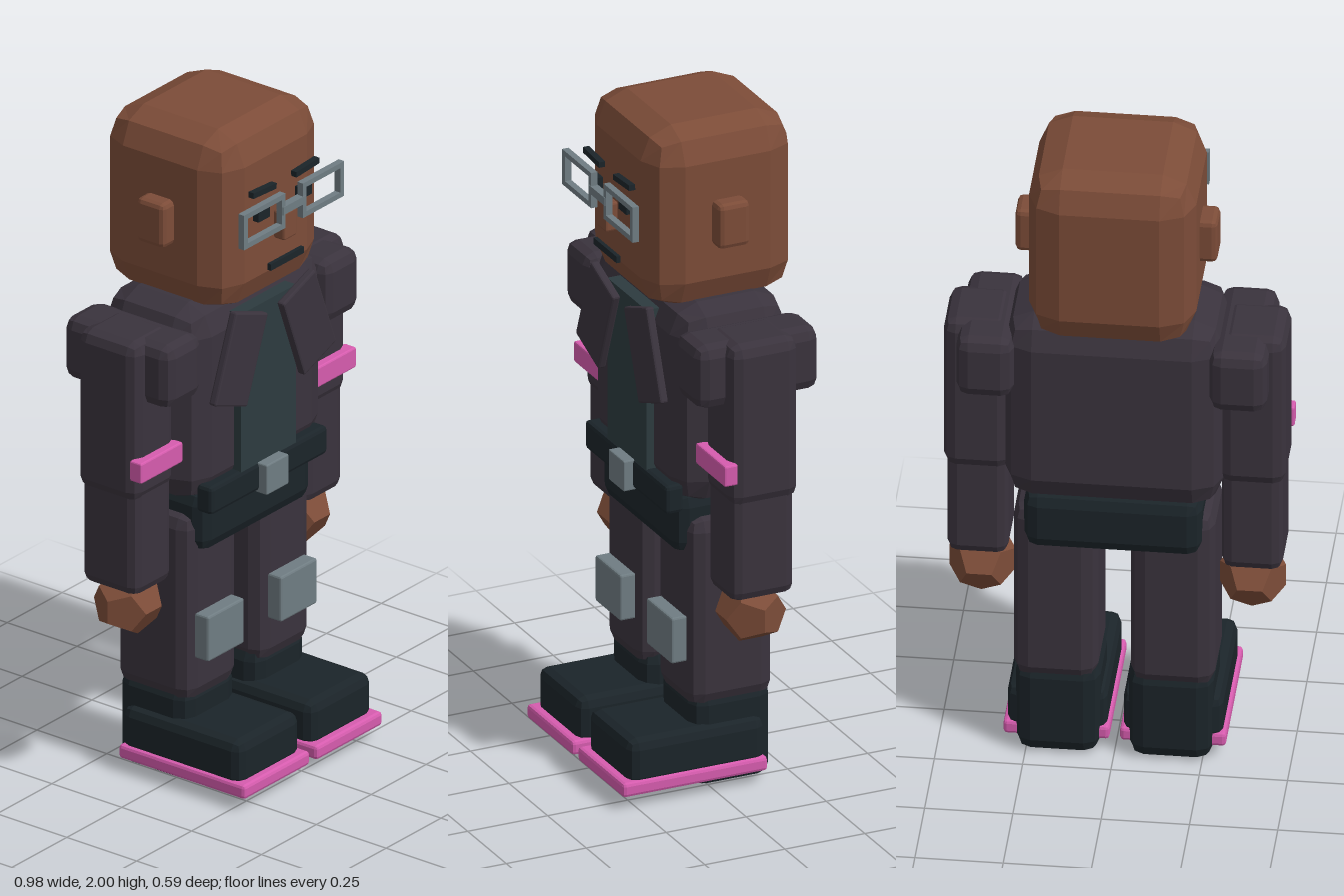
import * as THREE from 'three';
import { RoundedBoxGeometry } from 'three/addons/geometries/RoundedBoxGeometry.js';

const mat = (color) => new THREE.MeshStandardMaterial({ color, flatShading: true });

export function createModel() {
  const model = new THREE.Group();
  model.name = 'figure';
  const skin = mat(0x7c4c38), cloth = mat(0x3a333d), dark = mat(0x1b2429);
  const shirtMat = mat(0x2d3b3f), pink = mat(0xd65cae), grey = mat(0x6f7c82);

  // Box given by its ranges [min, max]; r is the two-step bevel (0 = sharp edges)
  function box(name, material, [x0, x1], [y0, y1], [z0, z1], r = 0) {
    const size = [x1 - x0, y1 - y0, z1 - z0];
    const geometry = r ? new RoundedBoxGeometry(...size, 1, r) : new THREE.BoxGeometry(...size);
    const mesh = new THREE.Mesh(geometry, material);
    mesh.name = name;
    mesh.position.set((x0 + x1) / 2, (y0 + y1) / 2, (z0 + z1) / 2);
    model.add(mesh);
    return mesh;
  }

  // The same box on both sides, ranges given for the left (+x) side
  function pair(name, material, [x0, x1], y, z, r = 0, tilt = 0) {
    const Name = name[0].toUpperCase() + name.slice(1);
    box('left' + Name, material, [x0, x1], y, z, r).rotation.z = tilt;
    box('right' + Name, material, [-x1, -x0], y, z, r).rotation.z = -tilt;
  }

  // Head and face
  box('head', skin, [-0.237, 0.237], [1.45, 2], [-0.298, 0.158], 0.095);
  pair('ear', skin, [0.2, 0.286], [1.65, 1.787], [-0.118, -0.02], 0.015);
  box('nose', skin, [-0.029, 0.029], [1.65, 1.737], [0.172, 0.212], 0.006);
  pair('eye', dark, [0.07, 0.121], [1.737, 1.774], [0.172, 0.192]);
  pair('eyebrow', dark, [0.045, 0.15], [1.82, 1.837], [0.178, 0.197], 0, 0.06);
  box('mouth', dark, [-0.075, 0.075], [1.572, 1.592], [0.188, 0.2]);

  // Glasses: two rectangular frames and a bridge
  const glassZ = [0.204, 0.224];
  pair('lensTop', grey, [0.04, 0.228], [1.792, 1.808], glassZ);
  pair('lensBottom', grey, [0.04, 0.228], [1.7, 1.716], glassZ);
  pair('lensOuterSide', grey, [0.21, 0.228], [1.716, 1.792], glassZ);
  pair('lensInnerSide', grey, [0.04, 0.056], [1.716, 1.792], glassZ);
  box('glassesBridge', grey, [-0.052, 0.052], [1.744, 1.768], [0.202, 0.226]);

  // Torso, shirt, lapels and belt
  box('jacket', cloth, [-0.312, 0.312], [0.875, 1.48], [-0.242, 0.108], 0.085);
  box('shirt', shirtMat, [-0.126, 0.126], [0.87, 1.435], [0.09, 0.132]);
  pair('lapel', cloth, [0.077, 0.233], [1.175, 1.45], [0.134, 0.16], 0.006, 0.36);
  box('hips', dark, [-0.252, 0.252], [0.715, 0.9], [-0.23, 0.097], 0.04);
  box('belt', dark, [-0.265, 0.265], [0.858, 0.945], [0.08, 0.137], 0.012);
  box('buckle', grey, [-0.05, 0.05], [0.852, 0.945], [0.12, 0.166], 0.004);

  // Arms
  pair('upperArm', cloth, [0.295, 0.484], [0.94, 1.435], [-0.178, 0.036], 0.035);
  pair('forearm', cloth, [0.302, 0.475], [0.645, 1.0], [-0.168, 0.03], 0.03);
  pair('shoulderPad', cloth, [0.277, 0.44], [1.238, 1.432], [-0.263, 0.12], 0.035);
  pair('armBand', pink, [0.3, 0.49], [1.02, 1.083], [0.02, 0.062], 0.005);
  for (const side of [1, -1]) {
    const hand = new THREE.Mesh(new THREE.DodecahedronGeometry(0.1), skin);
    hand.name = side > 0 ? 'leftHand' : 'rightHand';
    hand.rotation.y = Math.PI / 2;
    hand.scale.y = 0.95;
    hand.position.set(side * 0.383, 0.577, -0.07);
    model.add(hand);
  }

  // Legs and boots
  pair('leg', cloth, [0.046, 0.285], [0.25, 0.835], [-0.197, 0.068], 0.045);
  pair('kneePad', grey, [0.084, 0.248], [0.39, 0.53], [0.05, 0.112], 0.006);
  pair('bootShaft', dark, [0.04, 0.28], [0, 0.3], [-0.194, 0.056], 0.045);
  pair('bootFoot', dark, [0.023, 0.305], [0.055, 0.2], [-0.158, 0.268], 0.03);
  pair('sole', pink, [0.015, 0.315], [0.038, 0.081], [-0.158, 0.294], 0.01);

  return model;
}
